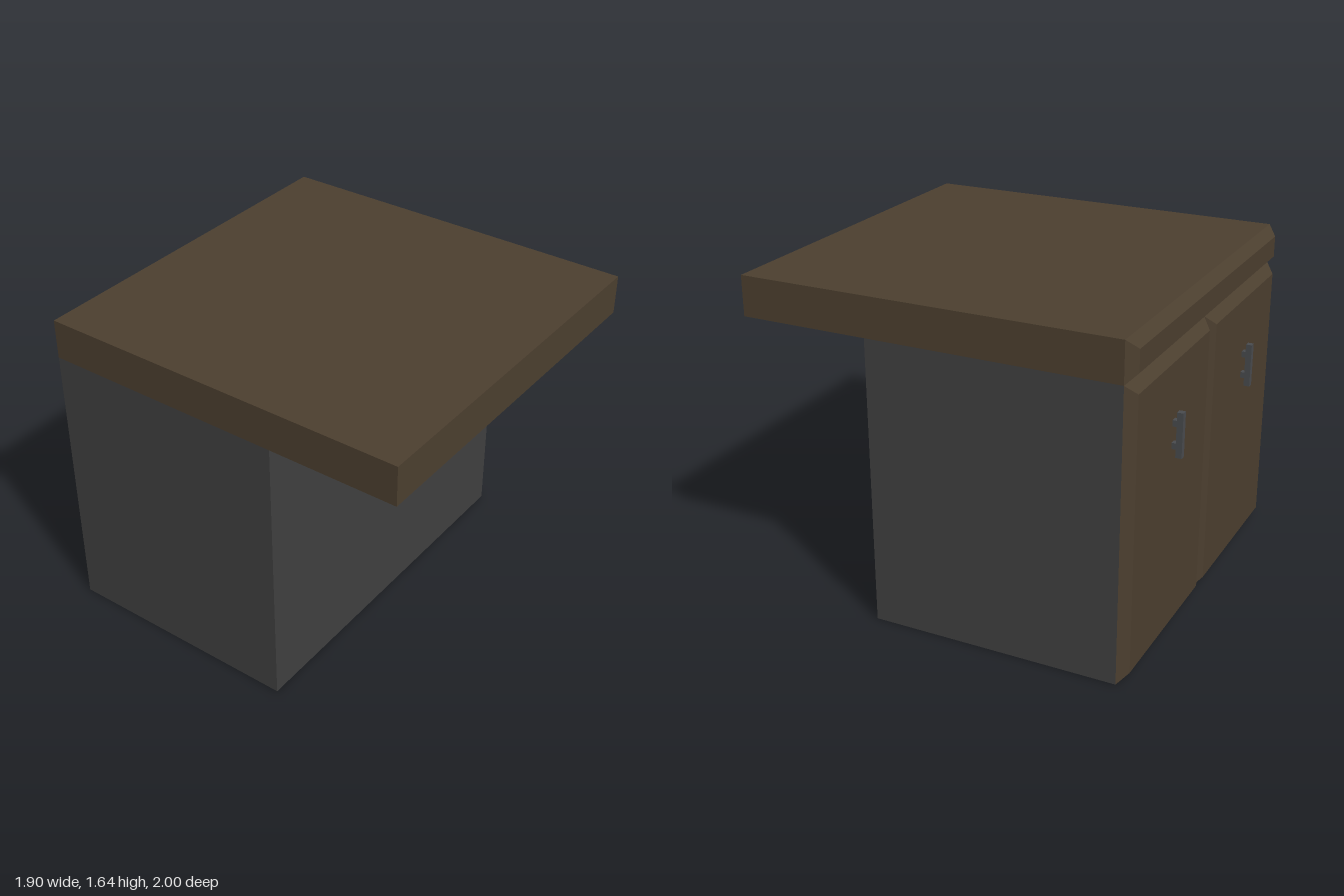
import * as THREE from 'three';

const wood = new THREE.MeshStandardMaterial({ color: 0x4c3f2f });
const carcass = new THREE.MeshStandardMaterial({ color: 0x404040, side: THREE.DoubleSide });
const metal = new THREE.MeshStandardMaterial({ color: 0x494b4e });

const WIDTH = 1.9, BODY_H = 1.443, TOP_H = 0.2;
const FRONT = 0.347, BACK = -0.903, BEVEL = 0.047;
const DEPTH = FRONT - BACK, MID = (FRONT + BACK) / 2;

function add(parent, name, geometry, material, x, y, z) {
  const mesh = new THREE.Mesh(geometry, material);
  mesh.name = name;
  mesh.position.set(x, y, z);
  parent.add(mesh);
  return mesh;
}

// Box whose -z face is drawn in by the bevel width on all four sides
function bevelledBox(w, h) {
  const geometry = new THREE.BoxGeometry(w, h, BEVEL);
  const p = geometry.attributes.position;
  for (let i = 0; i < p.count; i++) {
    if (p.getZ(i) > 0) continue;
    p.setX(i, p.getX(i) - Math.sign(p.getX(i)) * BEVEL);
    p.setY(i, p.getY(i) - Math.sign(p.getY(i)) * BEVEL);
  }
  geometry.computeVertexNormals();
  return geometry;
}

// Square bar handle on two short posts
function createHandle() {
  const handle = new THREE.Group();
  handle.name = 'handle';
  add(handle, 'handleBar', new THREE.BoxGeometry(0.03, 0.22, 0.03), metal, 0, 0, -0.035);
  for (const y of [-0.055, 0.055]) {
    add(handle, 'handlePost', new THREE.BoxGeometry(0.03, 0.03, 0.02), metal, 0, y, -0.01);
  }
  return handle;
}

export function createModel() {
  const cabinet = new THREE.Group();
  cabinet.name = 'cabinet';

  // Carcass walls, open underneath
  add(cabinet, 'bodyFront', new THREE.PlaneGeometry(WIDTH, BODY_H), carcass, 0, BODY_H / 2, FRONT);
  for (const side of [-1, 1]) {
    const wall = add(cabinet, side > 0 ? 'bodyLeft' : 'bodyRight',
      new THREE.PlaneGeometry(DEPTH, BODY_H), carcass, side * WIDTH / 2, BODY_H / 2, MID);
    wall.rotation.y = side * Math.PI / 2;
  }

  // Overhanging worktop with a bevelled back edge
  const topY = BODY_H + TOP_H / 2;
  add(cabinet, 'worktop', new THREE.BoxGeometry(WIDTH, TOP_H, 1 - BACK), wood, 0, topY, (1 + BACK) / 2);
  add(cabinet, 'worktopEdge', bevelledBox(WIDTH, TOP_H), wood, 0, topY, BACK - BEVEL / 2);

  // Pair of bevelled doors with handles
  for (const x of [-WIDTH / 4, WIDTH / 4]) {
    const door = new THREE.Group();
    door.name = x > 0 ? 'leftDoor' : 'rightDoor';
    add(door, 'doorPanel', bevelledBox(WIDTH / 2, BODY_H), wood, x, BODY_H / 2, BACK - BEVEL / 2);
    const handle = createHandle();
    handle.position.set(x, 1.05, BACK - BEVEL);
    door.add(handle);
    cabinet.add(door);
  }
  return cabinet;
}
